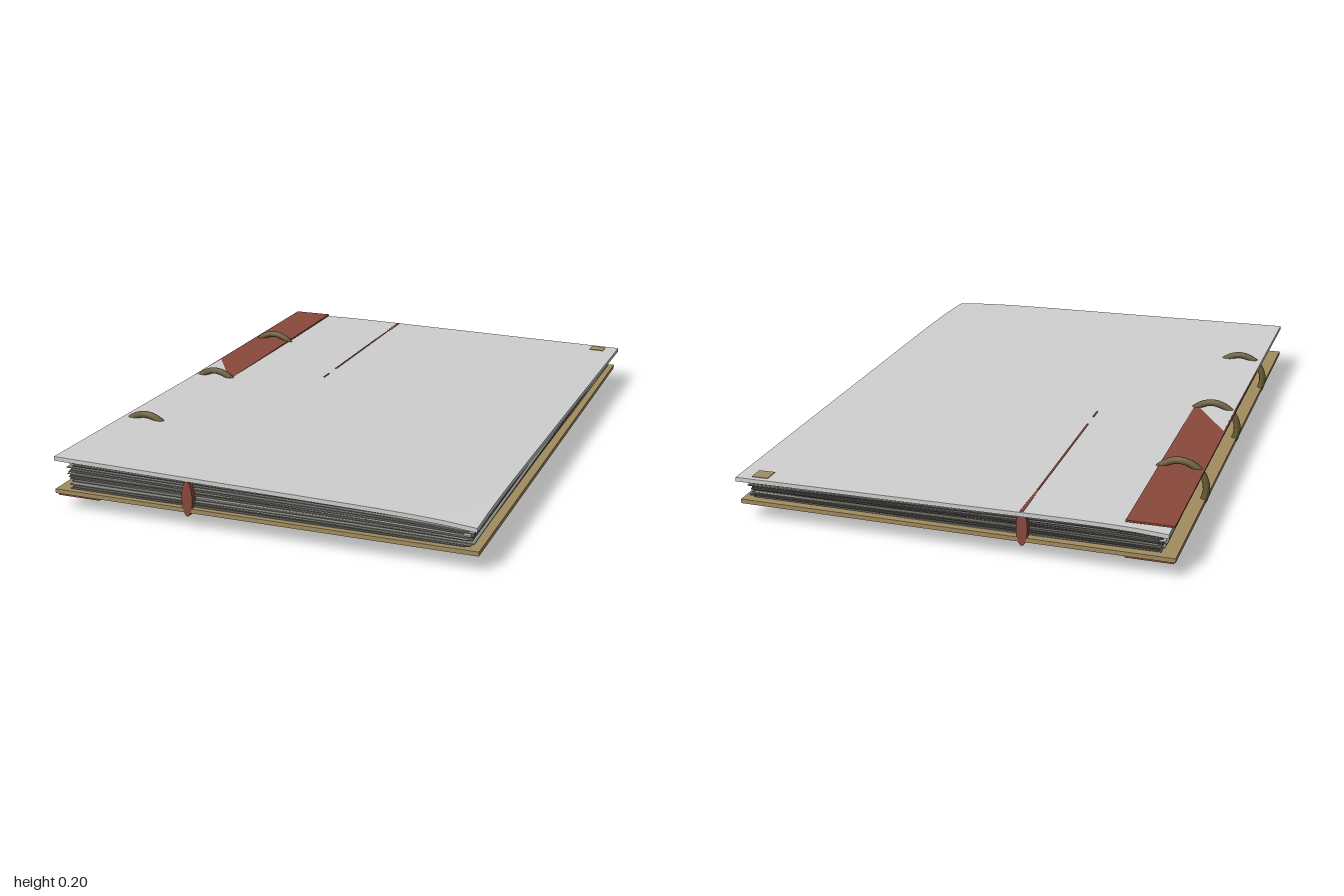
import * as THREE from 'three';

const mat = (name, color) => Object.assign(new THREE.MeshStandardMaterial({ color }), { name });

export function createModel() {
  const book = new THREE.Group();
  book.name = 'ringBoundBook';

  const coverGrey = mat('coverGrey', 0xd0d0d0);
  const boardTan = mat('boardTan', 0xa38d60);
  const leatherRed = mat('leatherRed', 0x8a4a3c);
  const bronze = mat('bronze', 0x6b5d3c);
  const pageTones = [mat('pageGrey', 0x8c8c86), mat('pageDark', 0x5c5b55), mat('pagePale', 0xb8b6ac)];

  let seed = 7;
  const jitter = (amount) => {
    seed = (seed * 16807) % 2147483647;
    return (seed / 2147483647 - 0.5) * 2 * amount;
  };

  const add = (name, geometry, material, x = 0, y = 0, z = 0) => {
    const mesh = new THREE.Mesh(geometry, material);
    mesh.name = name;
    mesh.position.set(x, y, z);
    book.add(mesh);
    return mesh;
  };

  // Thin sheet following the sagging slope of the closed book; lean 0 is flat, 1 is the full slope
  const sheet = (w, d, t, lean, cx = 0, cz = 0, ripple = 0, phase = 0) => {
    const g = new THREE.BoxGeometry(w, t, d, 14, 1, 18).translate(cx, 0, cz);
    const p = g.attributes.position;
    for (let i = 0; i < p.count; i++) {
      const x = p.getX(i), z = p.getZ(i);
      const slope = -0.014 * x + 0.009 * z;
      const droop = -0.014 * Math.max(0, (x * z) / 0.7) ** 6;
      const wave = ripple * Math.sin(5 * x + phase) * Math.cos(4 * z + phase * 2);
      p.setY(i, p.getY(i) + lean * (slope + droop) + wave);
    }
    g.computeVertexNormals();
    return g;
  };

  // Covers
  add('backCover', sheet(1.4, 1.965, 0.014, 0), boardTan, -0.008, 0.062, 0);
  add('frontCover', sheet(1.395, 1.975, 0.014, 1), coverGrey, 0, 0.153, 0).rotation.y = -0.009;
  add('cornerPatch', sheet(0.055, 0.05, 0.003, 1, 0.63, -0.94), boardTan, 0, 0.1605, 0);

  // Uneven stack of pages
  const pageCount = 24;
  for (let i = 0; i < pageCount; i++) {
    const f = i / (pageCount - 1);
    const page = sheet(1.32 + jitter(0.015), 1.92 + jitter(0.012), 0.0032, f, 0, 0, 0.0012, jitter(3));
    const tone = i % 5 === 2 ? 2 : i % 2;
    add('page', page, pageTones[tone], jitter(0.012), 0.073 + 0.07 * f, jitter(0.008))
      .rotation.y = jitter(0.006);
  }

  // Leather strips along the binding edge
  add('upperBindingStrip', new THREE.BoxGeometry(0.147, 0.006, 1.95), leatherRed, -0.628, 0.165, 0);
  add('lowerBindingStrip', new THREE.BoxGeometry(0.147, 0.008, 1.95), leatherRed, -0.628, 0.051, 0);

  // Flattened ribbon bookmark running through the book
  const ribbon = new THREE.CylinderGeometry(1, 1, 1.966, 20).rotateX(Math.PI / 2).scale(0.018, 0.058, 1);
  add('ribbon', ribbon, leatherRed, -0.24, 0.1, 0);
  for (const [z0, z1] of [[-0.82, -0.26], [-0.19, -0.14]]) {
    add('ribbonRidge', sheet(0.006, z1 - z0, 0.003, 1, -0.24, (z0 + z1) / 2), leatherRed, 0, 0.1605, 0);
  }

  // Binding rings
  const ring = new THREE.TorusGeometry(0.088, 0.012, 10, 32);
  for (const z of [-0.54, 0, 0.54]) add('bindingRing', ring, bronze, -0.62, 0.1, z);

  return book;
}
